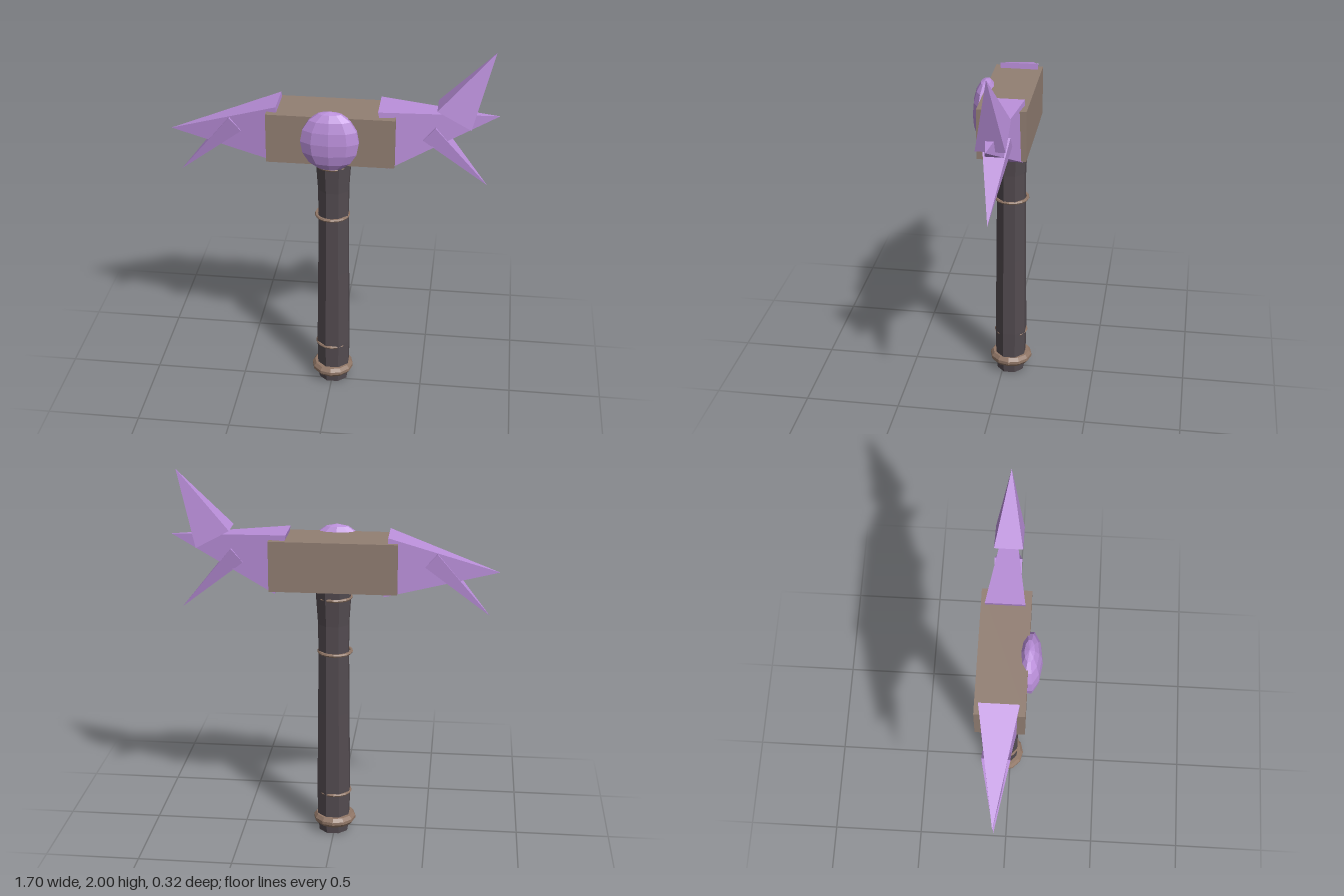
import * as THREE from 'three';
import { ConvexGeometry } from 'three/addons/geometries/ConvexGeometry.js';

const AXIS_Z = -0.04; // depth of the handle and spikes

const material = (color) => new THREE.MeshStandardMaterial({ color, flatShading: true });

// Four-sided spike: rectangular base through a and b (x, y), narrowing to a tip
function spikeGeometry(a, b, halfDepth, tip) {
  const points = [new THREE.Vector3(tip[0], tip[1], AXIS_Z)];
  for (const [x, y] of [a, b]) {
    for (const s of [-1, 1]) points.push(new THREE.Vector3(x, y, AXIS_Z + s * halfDepth));
  }
  return new ConvexGeometry(points);
}

export function createModel() {
  const model = new THREE.Group();
  const crystal = material(0xba8fda);
  const stone = material(0x927f73);
  const wood = material(0x534b50);
  const metal = material(0x917767);

  const add = (name, geometry, mat, x = 0, y = 0, z = 0) => {
    const mesh = new THREE.Mesh(geometry, mat);
    mesh.name = name;
    mesh.position.set(x, y, z);
    model.add(mesh);
    return mesh;
  };

  // Eight-sided handle, slightly waisted and flared under the head
  const profile = [
    [0, 0], [0.082, 0], [0.09, 0.08], [0.094, 0.25], [0.088, 0.7],
    [0.085, 1.05], [0.086, 1.2], [0.099, 1.39], [0.099, 1.45], [0, 1.45],
  ].map(([r, y]) => new THREE.Vector2(r, y));
  const handle = new THREE.LatheGeometry(profile, 8).rotateY(Math.PI / 8).scale(1, 1, 0.93);
  add('handle', handle, wood, 0.005, 0, AXIS_Z);

  // Thin binding rings
  for (const [y, r] of [[0.235, 0.082], [1.045, 0.086], [1.345, 0.084]]) {
    const ring = new THREE.TorusGeometry(r, 0.009, 6, 16).rotateX(Math.PI / 2);
    add('bindingRing', ring, metal, -0.002, y, AXIS_Z);
  }

  // Thick collar near the foot
  const collar = new THREE.LatheGeometry([
    [0.08, -0.026], [0.1, -0.026], [0.114, -0.008],
    [0.114, 0.008], [0.1, 0.026], [0.08, 0.026],
  ].map(([r, y]) => new THREE.Vector2(r, y)), 12);
  add('collar', collar, metal, 0, 0.075, AXIS_Z);

  // Head block
  add('headBlock', new THREE.BoxGeometry(0.66, 0.265, 0.25), stone, 0, 1.53, -0.035);

  // Flattened faceted gem on the front
  const gem = new THREE.SphereGeometry(1, 10, 8).rotateY(Math.PI / 10).scale(0.157, 0.165, 0.067);
  add('gem', gem, crystal, 0, 1.535, 0.093);

  // Large crystals at each end of the head
  add('rightMainCrystal', spikeGeometry([-0.28, 1.692], [-0.26, 1.38], 0.1, [-0.85, 1.5]), crystal);
  add('leftMainCrystal', spikeGeometry([0.24, 1.692], [0.3, 1.38], 0.1, [0.85, 1.66]), crystal);

  // Mirrored downward spikes
  for (const s of [-1, 1]) {
    add(s < 0 ? 'rightLowerSpike' : 'leftLowerSpike',
      spikeGeometry([s * 0.53, 1.605], [s * 0.468, 1.535], 0.07, [s * 0.805, 1.265]), crystal);
  }

  // Upward spike on the left end
  add('leftUpperSpike', spikeGeometry([0.535, 1.7], [0.71, 1.605], 0.073, [0.815, 2]), crystal);

  return model;
}
